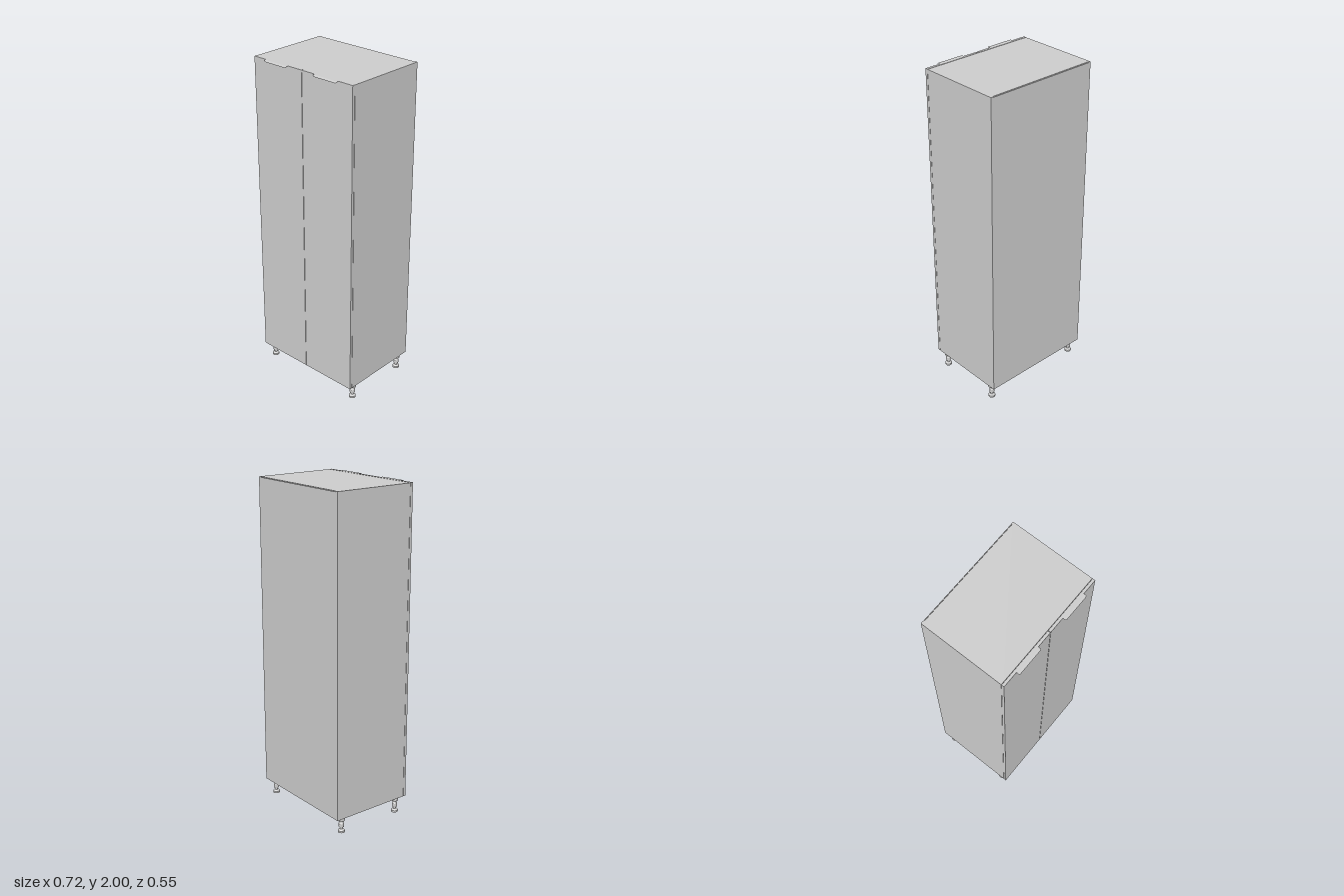
import * as THREE from 'three';
import { ParametricGeometry } from 'three/addons/geometries/ParametricGeometry.js';

export function createModel() {
  const group = new THREE.Group();
  group.name = 'cabinet';
  const grey = new THREE.MeshStandardMaterial({ color: 0xcccccc });
  const thin = new THREE.MeshStandardMaterial({ color: 0xcccccc, side: THREE.DoubleSide });
  const faceted = new THREE.MeshStandardMaterial({ color: 0xcccccc, flatShading: true });

  const add = (name, geometry, material = grey) => {
    const mesh = new THREE.Mesh(geometry, material);
    mesh.name = name;
    group.add(mesh);
    return mesh;
  };
  // Box given by its two extreme corners
  const panel = (name, x0, x1, y0, y1, z0, z1) =>
    add(name, new THREE.BoxGeometry(x1 - x0, y1 - y0, z1 - z0))
      .position.set((x0 + x1) / 2, (y0 + y1) / 2, (z0 + z1) / 2);

  const W = 0.362, T = 0.016, bottom = 0.1, top = 1.998, back = -0.274, front = 0.235;

  // Carcass: sides, base, top and a back board set into a shallow groove
  panel('rightSide', -W, -W + T, bottom, top, back, front);
  panel('leftSide', W - T, W, bottom, top, back, front);
  panel('base', -W + T, W - T, bottom, bottom + T, -0.268, front);
  panel('topPanel', -W + T, W - T, top - T, top, -0.268, front);
  panel('backBoard', -W + T, W - T, bottom, top - 0.003, back, -0.2705);

  // Folded pull: flat on the door top, rolled over the front edge, rounded ends
  const halfWidth = 0.0855, cornerR = 0.013, rollR = 0.009;
  const pull = (u, v, target) => {
    const flat = 0.025, arc = rollR * Math.PI / 2, length = flat + arc;
    const s = v * length;
    const a = Math.max(0, s - flat) / rollR;
    const z = 0.238 + Math.min(s, flat) + rollR * Math.sin(a);
    const y = 2 - rollR * (1 - Math.cos(a));
    const c = Math.max(0, s - (length - cornerR));
    const half = halfWidth - cornerR + Math.sqrt(Math.max(0, cornerR * cornerR - c * c));
    target.set((u * 2 - 1) * half, y, z);
  };

  // Legs: mounting flange, ribbed collar, threaded neck and foot
  const legProfile = [
    [0, 0], [0.02, 0], [0.021, 0.003], [0.021, 0.012], [0.016, 0.018], [0.009, 0.021],
    [0.009, 0.031], [0.015, 0.034], [0.016, 0.038], [0.016, 0.056], [0.013, 0.061],
    [0.011, 0.065], [0.011, 0.073], [0.022, 0.076], [0.022, 0.1], [0, 0.1],
  ].map(([r, y]) => new THREE.Vector2(r, y));
  const legGeometry = new THREE.LatheGeometry(legProfile, 16);

  for (const side of [-1, 1]) {
    const label = side < 0 ? 'right' : 'left';
    const inner = side * 0.0015, outer = side * W;
    panel(label + 'Door', Math.min(inner, outer), Math.max(inner, outer),
      bottom, 1.999, 0.237, 0.253);
    add(label + 'Handle', new ParametricGeometry(pull, 8, 36), thin)
      .position.x = side * 0.1825;
    for (const [end, z] of [['Front', 0.195], ['Back', -0.22]])
      add(label + end + 'Leg', legGeometry, faceted).position.set(side * 0.33, 0, z);
  }
  return group;
}
